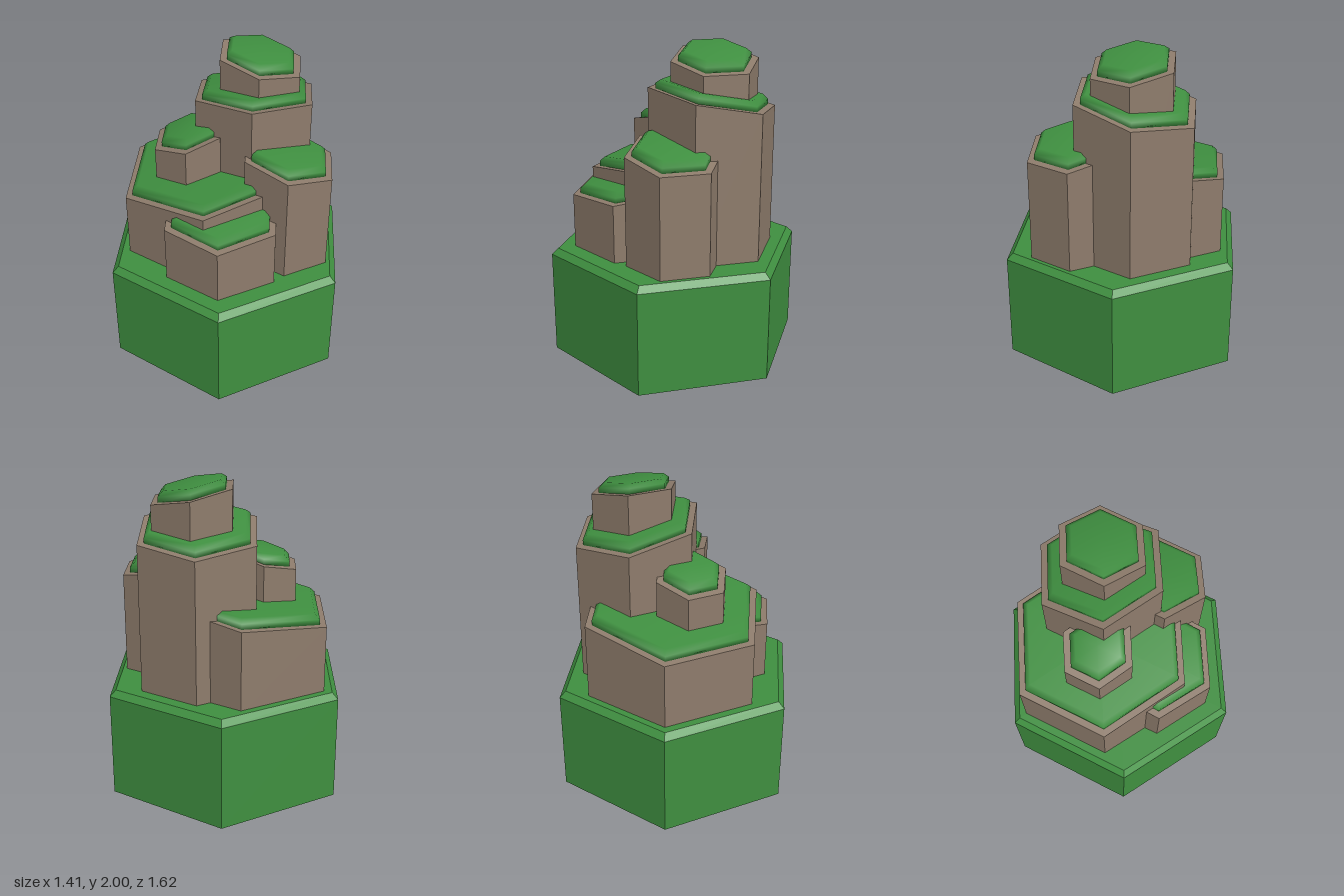
import * as THREE from 'three';

const HALF = Math.cos(Math.PI / 6); // half width of a unit hexagon

// Closed hexagonal solid lofted through rings of [radius, y];
// heightAt(x, z, ring) may override each corner's height.
function hexLoft(rings, smooth, heightAt = (x, z, r) => rings[r][1]) {
  const pos = [], index = [];
  const last = rings.length - 1;
  rings.forEach(([radius], r) => {
    for (let i = 0; i < 6; i++) {
      const a = (i * Math.PI) / 3;
      const x = Math.sin(a) * radius, z = Math.cos(a) * radius;
      pos.push(x, heightAt(x, z, r), z);
    }
  });
  const bottom = pos.length / 3, top = bottom + 1;
  pos.push(0, heightAt(0, 0, 0), 0, 0, heightAt(0, 0, last), 0);
  for (let i = 0; i < 6; i++) {
    const j = (i + 1) % 6;
    index.push(bottom, j, i, top, last * 6 + i, last * 6 + j);
    for (let r = 0; r < last; r++) {
      const a = r * 6 + i, b = r * 6 + j;
      index.push(a, b, b + 6, a, b + 6, a + 6);
    }
  }
  let geo = new THREE.BufferGeometry();
  geo.setAttribute('position', new THREE.Float32BufferAttribute(pos, 3));
  geo.setIndex(index);
  if (!smooth) geo = geo.toNonIndexed();
  geo.computeVertexNormals();
  return geo;
}

export function createModel() {
  const grass = new THREE.MeshStandardMaterial({ color: 0x3f8f40 });
  grass.name = 'grass green';
  const rock = new THREE.MeshStandardMaterial({ color: 0x8e7c6c });
  rock.name = 'rock brown';

  const model = new THREE.Group();
  model.name = 'hexRockTile';

  // Bevelled hexagonal tile
  const base = new THREE.Mesh(
    hexLoft([[0.812, 0], [0.812, 0.67], [0.77, 0.708]], false), grass);
  base.name = 'grassBase';
  model.add(base);

  // Rock column with a slanted top and a soft grass cap
  const BOTTOM = 0.69, INSET = 0.04 / HALF;
  function addColumn(name, x, z, radius, height, slopeX, slopeZ) {
    const group = new THREE.Group();
    group.name = name;
    group.position.set(x, 0, z);
    const plane = (px, pz) => height + slopeX * px + slopeZ * pz;

    const column = new THREE.Mesh(
      hexLoft([[radius, 0], [radius, 0]], false,
        (px, pz, r) => (r === 0 ? BOTTOM : plane(px, pz))), rock);
    column.name = name + 'Rock';

    const rc = radius - INSET;
    const capRings = [[rc, -0.005], [rc, 0.033], [rc - 0.035, 0.06]];
    const cap = new THREE.Mesh(
      hexLoft(capRings, true, (px, pz, r) => plane(px, pz) + capRings[r][1]), grass);
    cap.name = name + 'GrassCap';

    group.add(column, cap);
    model.add(group);
  }

  addColumn('wideColumn', -0.11, -0.07, 0.587, 1.2, 0.141, 0);
  addColumn('tallColumn', 0.155, -0.193, 0.404, 1.675, 0, 0.194);
  addColumn('peakColumn', 0.187, -0.195, 0.275, 1.907, -0.2, 0);
  addColumn('leftColumn', 0.38, 0.103, 0.302, 1.398, -0.2, 0);
  addColumn('smallColumn', -0.238, -0.012, 0.231, 1.466, 0.25, 0);
  addColumn('frontColumn', -0.015, 0.273, 0.386, 1.1, 0, -0.115);

  return model;
}
